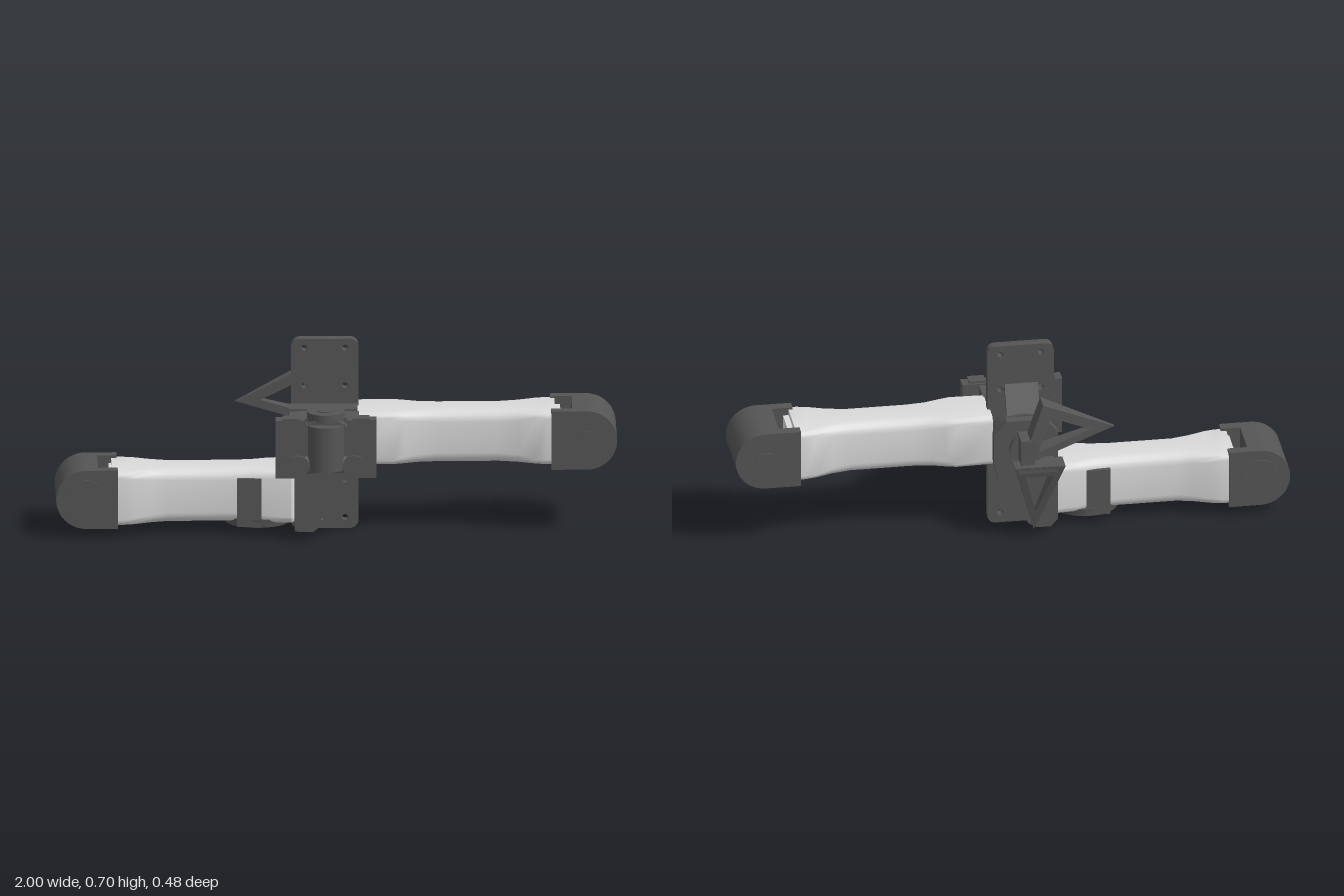
import * as THREE from 'three';
import { toCreasedNormals } from 'three/addons/utils/BufferGeometryUtils.js';

const dark = new THREE.MeshStandardMaterial({ color: 0x555555 });
dark.name = 'dark grey';
const light = new THREE.MeshStandardMaterial({ color: 0xdadada });
light.name = 'light grey';

function add(parent, name, geo, mat = dark, x = 0, y = 0, z = 0) {
  const m = new THREE.Mesh(geo, mat);
  m.name = name;
  m.position.set(x, y, z);
  parent.add(m);
  return m;
}

// Box given by its lower and upper bounds
function box(parent, name, [x0, x1], [y0, y1], [z0, z1], mat = dark) {
  return add(parent, name, new THREE.BoxGeometry(x1 - x0, y1 - y0, z1 - z0), mat,
    (x0 + x1) / 2, (y0 + y1) / 2, (z0 + z1) / 2);
}

// Cylinder along a chosen axis
function rod(parent, name, r, len, axis, x, y, z, mat = dark) {
  const g = new THREE.CylinderGeometry(r, r, len, 40);
  if (axis === 'x') g.rotateZ(Math.PI / 2);
  if (axis === 'z') g.rotateX(Math.PI / 2);
  return add(parent, name, g, mat, x, y, z);
}

const poly = pts => new THREE.Shape(pts.map(p => new THREE.Vector2(p[0], p[1])));

function slab(parent, name, shape, z0, z1) {
  const g = new THREE.ExtrudeGeometry(shape, { depth: z1 - z0, bevelEnabled: false, curveSegments: 16 });
  return add(parent, name, toCreasedNormals(g, 0.5), dark, 0, 0, z0);
}

function roundedRect(x0, x1, y0, y1, r) {
  const s = new THREE.Shape();
  s.absarc(x1 - r, y1 - r, r, 0, Math.PI / 2);
  s.absarc(x0 + r, y1 - r, r, Math.PI / 2, Math.PI);
  s.absarc(x0 + r, y0 + r, r, Math.PI, Math.PI * 1.5);
  s.absarc(x1 - r, y0 + r, r, Math.PI * 1.5, Math.PI * 2);
  s.closePath();
  return s;
}

// Arm shell lofted through rounded rectangles; station = [x, half depth, corner radius]
function armGeometry(stations, halfHeight) {
  const pos = [], idx = [], per = 6, n = per * 4;
  for (const [x, w, r] of stations) {
    for (let c = 0; c < 4; c++) {
      const sy = c === 0 || c === 3 ? 1 : -1, sz = c < 2 ? 1 : -1;
      for (let k = 0; k < per; k++) {
        const a = (c + k / (per - 1)) * Math.PI / 2;
        pos.push(x, sy * (halfHeight - r) + r * Math.cos(a), sz * (w - r) + r * Math.sin(a));
      }
    }
  }
  const last = (stations.length - 1) * n;
  const c0 = pos.length / 3, c1 = c0 + 1;
  pos.push(stations[0][0], 0, 0, stations[stations.length - 1][0], 0, 0);
  for (let j = 0; j < n; j++) {
    const k = (j + 1) % n;
    for (let i = 0; i < last; i += n) idx.push(i + j, i + k, i + n + j, i + k, i + n + k, i + n + j);
    idx.push(c0, k, j, c1, last + j, last + k);
  }
  const g = new THREE.BufferGeometry();
  g.setAttribute('position', new THREE.Float32BufferAttribute(pos, 3));
  g.setIndex(idx);
  return toCreasedNormals(g, 0.7);
}

// Forked joint with a round outer end; s is the side, open towards the arm
function endJoint(s, cy, startX, solidX, discR) {
  const g = new THREE.Group();
  g.name = s > 0 ? 'leftEndJoint' : 'rightEndJoint';
  const r = 0.108, cx = 1 - r;
  const profile = x0 => {
    const pts = [[s * x0, cy - r]];
    for (let i = 0; i <= 24; i++) {
      const a = -Math.PI / 2 + Math.PI * i / 24;
      pts.push([s * (cx + r * Math.cos(a)), cy + r * Math.sin(a)]);
    }
    pts.push([s * x0, cy + r]);
    return poly(pts);
  };
  slab(g, 'jointFrontCheek', profile(startX), 0.078, 0.116);
  slab(g, 'jointRearCheek', profile(startX), -0.116, -0.078);
  slab(g, 'jointCore', profile(solidX), -0.078, 0.078);
  for (const z of [-0.117, 0.117]) rod(g, 'jointPin', discR, 0.006, 'z', s * cx, cy, z);
  box(g, 'armTongue', s > 0 ? [0.76, 0.8] : [-0.81, -0.77], [cy - 0.08, cy + 0.08], [-0.076, 0.076], light);
  return g;
}

// Open triangular finger whose depth grows from tip to base
function finger(parent, name, tip, a, b) {
  const tri = [tip, a, b];
  const shape = poly(tri);
  const c = [(tip[0] + a[0] + b[0]) / 3, (tip[1] + a[1] + b[1]) / 3];
  shape.holes.push(new THREE.Path(tri.map(p =>
    new THREE.Vector2(c[0] + (p[0] - c[0]) * 0.56, c[1] + (p[1] - c[1]) * 0.56))));
  const g = new THREE.ExtrudeGeometry(shape, { depth: 1, bevelEnabled: false });
  const mid = [(a[0] + b[0]) / 2 - tip[0], (a[1] + b[1]) / 2 - tip[1]];
  const l2 = mid[0] ** 2 + mid[1] ** 2, p = g.attributes.position;
  for (let i = 0; i < p.count; i++) {
    const t = ((p.getX(i) - tip[0]) * mid[0] + (p.getY(i) - tip[1]) * mid[1]) / l2;
    const depth = 0.012 + 0.065 * Math.min(1, Math.max(0, t));
    p.setZ(i, p.getZ(i) > 0.5 ? -0.163 : -0.163 - depth);
  }
  return add(parent, name, toCreasedNormals(g, 0.4), dark);
}

export function createModel() {
  const root = new THREE.Group();
  root.name = 'jointedArm';
  const hx = -0.04, hy = 0.355;

  // Mounting plate with screw holes
  const plate = roundedRect(-0.16, 0.08, 0, 0.703, 0.03);
  for (const x of [-0.113, 0.033]) for (const y of [0.04, 0.18, 0.53, 0.67]) {
    const h = new THREE.Path();
    h.absarc(x, y, 0.011, 0, Math.PI * 2, true);
    plate.holes.push(h);
  }
  slab(root, 'mountingPlate', plate, -0.034, 0.001);

  // Waisted arm shells
  add(root, 'leftArm', armGeometry([[0.07, 0.1, 0.025], [0.2, 0.104, 0.025], [0.24, 0.097, 0.03],
    [0.29, 0.086, 0.036], [0.36, 0.082, 0.04], [0.58, 0.082, 0.04], [0.65, 0.092, 0.034],
    [0.71, 0.108, 0.026], [0.75, 0.113, 0.022], [0.78, 0.113, 0.022]], 0.097), light, 0, 0.357, 0);
  add(root, 'rightArm', armGeometry([[-0.8, 0.113, 0.022], [-0.76, 0.113, 0.022], [-0.72, 0.108, 0.026],
    [-0.66, 0.092, 0.034], [-0.6, 0.082, 0.04], [-0.37, 0.082, 0.04], [-0.3, 0.086, 0.036],
    [-0.24, 0.098, 0.03], [-0.16, 0.1, 0.025], [-0.13, 0.068, 0.02], [-0.05, 0.065, 0.02]], 0.099), light, 0, 0.143, 0);
  root.add(endJoint(1, 0.353, 0.765, 0.84, 0.035), endJoint(-1, 0.144, 0.78, 0.85, 0.072));

  // Clamp around the lower arm
  const clamp = new THREE.Group();
  clamp.name = 'armClamp';
  const pad = add(clamp, 'clampPad', new THREE.CylinderGeometry(0.1, 0.095, 0.03, 40), dark, -0.28, 0.045, 0);
  pad.scale.x = 1.2;
  for (const s of [-1, 1]) {
    box(clamp, 'clampTab', [-0.355, -0.268], [0.035, 0.212], s > 0 ? [0.078, 0.098] : [-0.098, -0.078]);
  }
  root.add(clamp);

  // Link between the two arms: tapered jaws in front and behind
  const jaw = poly([[-0.15, 0.045], [-0.138, 0.032], [-0.085, 0.032], [-0.068, 0.045],
    [-0.03, 0.14], [0.02, 0.21], [0.025, 0.25], [-0.15, 0.25]]);
  slab(root, 'frontJaw', jaw, 0.068, 0.158);
  slab(root, 'rearJaw', jaw, -0.125, -0.055);
  slab(root, 'rearLink', poly([[-0.155, 0.06], [-0.13, 0.032], [-0.08, 0.032], [-0.05, 0.05], [0.06, 0.23],
    [0.075, 0.3], [0.075, 0.41], [0.03, 0.462], [-0.11, 0.462], [-0.155, 0.41]]), -0.156, -0.122);
  box(root, 'linkBridge', [-0.15, 0.01], [0.182, 0.25], [-0.122, 0.15]);
  box(root, 'linkFoot', [-0.15, -0.08], [0.032, 0.045], [-0.125, 0.15]);

  // Ribbed shoulder hub
  rod(root, 'shoulderHub', 0.1, 0.25, 'z', hx, hy, 0);
  for (const z of [-0.105, -0.075, -0.05]) rod(root, 'hubRib', 0.109, 0.014, 'z', hx, hy, z);
  box(root, 'hubBlock', [-0.17, 0.075], [0.255, 0.463], [0, 0.07]);

  // Wrist motor housing at the front
  const wrist = new THREE.Group();
  wrist.name = 'wristMotor';
  box(wrist, 'housing', [-0.17, 0.08], [0.25, 0.455], [0.07, 0.16]);
  for (const s of [-1, 1]) {
    const x0 = hx + s * 0.075, x1 = hx + s * 0.18;
    box(wrist, 'flange', [Math.min(x0, x1), Math.max(x0, x1)], [0.245, 0.46], [0.157, 0.205]);
    rod(wrist, 'sideBoss', 0.04, 0.02, 'z', hx + s * 0.1, 0.29, 0.203);
    box(wrist, 'topRail', [hx + s * 0.125 - 0.03, hx + s * 0.125 + 0.03], [0.44, 0.468], [0.165, 0.21]);
  }
  box(wrist, 'lowerBar', [-0.15, 0.07], [0.237, 0.262], [0.157, 0.207]);
  rod(wrist, 'roundFace', 0.108, 0.035, 'z', hx, hy, 0.182);
  rod(wrist, 'motorCan', 0.072, 0.165, 'y', hx, 0.357, 0.167);
  rod(wrist, 'topDisc', 0.067, 0.03, 'y', hx, 0.463, 0.142);
  rod(wrist, 'topScrew', 0.03, 0.008, 'y', hx, 0.477, 0.142);
  rod(wrist, 'lowerRoll', 0.065, 0.16, 'x', hx, 0.289, 0.145);
  root.add(wrist);

  // Rear gripper with two open fingers
  const grip = new THREE.Group();
  grip.name = 'gripper';
  rod(grip, 'gripperHub', 0.06, 0.03, 'z', hx, hy, -0.165);
  box(grip, 'upperKnuckle', [-0.06, -0.01], [0.325, 0.42], [-0.238, -0.156]);
  box(grip, 'lowerKnuckle', [-0.14, 0], [0.29, 0.314], [-0.238, -0.156]);
  finger(grip, 'upperFinger', [-0.355, 0.425], [-0.01, 0.322], [-0.09, 0.556]);
  finger(grip, 'lowerFinger', [-0.065, 0.035], [0.01, 0.312], [-0.17, 0.312]);
  const brace = box(grip, 'slantedBrace', [-0.1, 0.02], [0.445, 0.56], [-0.073, -0.058]);
  brace.rotation.x = 0.46;
  root.add(grip);

  return root;
}
